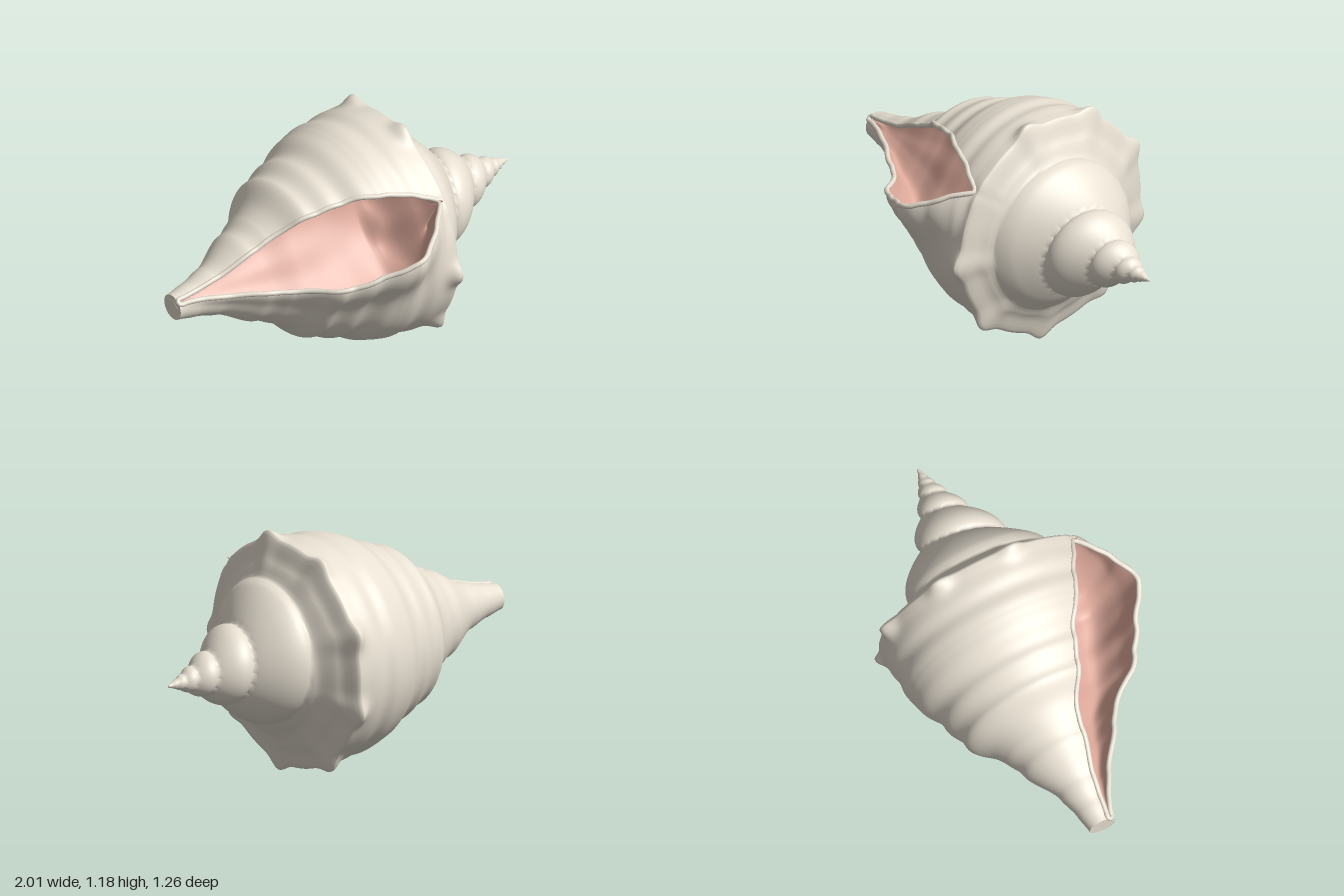
import * as THREE from 'three';

const RAD = Math.PI / 180;
const AXIS_Y = 0.6, AXIS_Z = -0.04;
const APERTURE_END = 0.25;

// Gently terraced interpolation through [x, value] stations
function sample(stations, x) {
  if (x <= stations[0][0]) return stations[0][1];
  for (let i = 1; i < stations.length; i++) {
    const [x1, v1] = stations[i], [x0, v0] = stations[i - 1];
    if (x <= x1) {
      const k = (x - x0) / (x1 - x0);
      const s = 0.55 * k + 0.45 * k * k * (3 - 2 * k);
      return v0 + (v1 - v0) * s;
    }
  }
  return stations[stations.length - 1][1];
}

// Body whorl radius, lip angles (degrees) and lip flare along the axis
const BODY = [[-1, 0.065], [-0.9, 0.085], [-0.78, 0.12], [-0.6, 0.22], [-0.5, 0.265], [-0.34, 0.4], [-0.2, 0.45],
  [-0.02, 0.535], [0.08, 0.545], [0.2, 0.558], [0.28, 0.557], [0.32, 0.46], [0.38, 0.355], [0.46, 0.27], [0.56, 0.05], [0.6, 0]];
const LOWER_LIP = [[-1, 38], [-0.75, 16], [-0.5, 9], [-0.3, 10], [-0.15, 14], [0, 18], [0.1, 23], [0.2, 31], [0.25, 36]];
const UPPER_LIP = [[-1, 58], [-0.75, 62], [-0.5, 66], [-0.3, 60], [-0.15, 57], [0, 50], [0.1, 46], [0.2, 40], [0.25, 36]];
const FLARE = [[-1, 0], [-0.75, 0.03], [-0.5, 0.05], [-0.34, 0.1], [-0.15, 0.14], [-0.02, 0.165], [0.1, 0.11], [0.2, 0.04], [0.25, 0]];

// Spiral spire: one rounded whorl per turn, shrinking towards the apex
function spireRadius(x, deg) {
  const t = Math.max(1 - x, 0.004);
  if (t > 0.75) return 0;
  const turn = Math.log(t / 0.58) / Math.log(0.6) - (deg - 90) / 360 - 0.58;
  const k = turn - Math.floor(turn);
  const slim = Math.min(1, 0.68 + 0.55 * t);
  return t * slim * (0.48 + 0.155 * Math.pow(Math.sin(Math.PI * k), 0.7)) + 0.004;
}

function radius(x, deg) {
  let r = sample(BODY, x);
  // Pointed knobs around the shoulder
  const knob = Math.pow((1 + Math.cos(9 * (deg - 76) * RAD)) / 2, 4);
  const dx = x - 0.275;
  const skip = Math.min(1, Math.abs(deg - 36) / 25, Math.abs(deg - 396) / 25);
  r += 0.045 * knob * skip * Math.exp(-Math.pow(dx / (dx < 0 ? 0.05 : 0.06), 2));
  // Fine spiral ridges
  if (x > -0.7 && x < 0.25) r += 0.004 * Math.sin(x * 48) * Math.min(1, (x + 0.7) * 5, (0.25 - x) * 8);
  // Flare towards the lower lip
  if (x < APERTURE_END) {
    const d = sample(LOWER_LIP, x) + 360 - deg;
    r += sample(FLARE, x) * Math.exp(-Math.pow(d / 16, 2));
  }
  return Math.max(r, spireRadius(x, deg));
}

function polar(x, deg, r) {
  return new THREE.Vector3(x, AXIS_Y + r * Math.sin(deg * RAD), AXIS_Z + r * Math.cos(deg * RAD));
}

// Grid surface from a point rule
function surface(rows, cols, point) {
  const pos = [], index = [];
  for (let i = 0; i <= rows; i++) {
    for (let j = 0; j <= cols; j++) {
      const p = point(i / rows, j / cols);
      pos.push(p.x, p.y, p.z);
      if (i < rows && j < cols) {
        const a = i * (cols + 1) + j, b = a + cols + 1;
        index.push(a, b, a + 1, b, b + 1, a + 1);
      }
    }
  }
  const g = new THREE.BufferGeometry();
  g.setAttribute('position', new THREE.Float32BufferAttribute(pos, 3));
  g.setIndex(index);
  g.computeVertexNormals();
  return g;
}

function outerShell() {
  const rows = 208, cols = 216;
  const g = surface(rows, cols, (u, v) => {
    const x = -1 + 2 * u;
    const from = sample(UPPER_LIP, x), to = sample(LOWER_LIP, x) + 360;
    const deg = from + (to - from) * v;
    return polar(x, deg, radius(x, deg));
  });
  // Blend the normals where the whorl closes on itself
  const n = g.attributes.normal, a = new THREE.Vector3(), b = new THREE.Vector3();
  for (let i = 0; i <= rows; i++) {
    if (-1 + (2 * i) / rows < APERTURE_END) continue;
    const first = i * (cols + 1), last = first + cols;
    a.fromBufferAttribute(n, first).add(b.fromBufferAttribute(n, last)).normalize();
    n.setXYZ(first, a.x, a.y, a.z);
    n.setXYZ(last, a.x, a.y, a.z);
  }
  return g;
}

const lowerLip = (x) => { const d = sample(LOWER_LIP, x) + 360; return polar(x, d, radius(x, d)); };
const upperLip = (x) => { const d = sample(UPPER_LIP, x); return polar(x, d, radius(x, d)); };

// Hollow that runs in under both lips
function cavity() {
  return surface(80, 48, (u, v) => {
    const x = -1 + (1 + APERTURE_END) * u;
    const p = sample(LOWER_LIP, x), q = sample(UPPER_LIP, x);
    const rp = radius(x, p + 360), rq = radius(x, q);
    const open = Math.min(1, (q - p) / 30), under = 32 * open;
    const inner = (deg, f) => polar(x, deg, f * sample(BODY, x));
    const deep = 1 - 0.68 * open;
    const section = new THREE.CatmullRomCurve3([
      polar(x, p, rp * 0.99),
      polar(x, p - under * 0.5, radius(x, p + 360 - under * 0.5) * 0.93),
      inner(p - under, 0.8),
      inner(p - under * 0.6, Math.max(deep, 0.45)),
      inner((p + q) / 2, deep),
      inner(q + under * 0.6, Math.max(deep, 0.45)),
      inner(q + under, 0.8),
      polar(x, q + under * 0.5, radius(x, q + under * 0.5) * 0.93),
      polar(x, q, rq * 0.99),
    ]);
    return section.getPoint(v);
  });
}

// Thickened rim around the opening
function lipRim() {
  const pts = [], steps = 32;
  const at = (i) => -0.995 + (APERTURE_END + 0.995) * (i / steps);
  for (let i = 0; i <= steps; i++) pts.push(lowerLip(at(i)));
  for (let i = steps - 1; i >= 0; i--) pts.push(upperLip(at(i)));
  return new THREE.TubeGeometry(new THREE.CatmullRomCurve3(pts, true), 220, 0.0125, 10, true);
}

export function createModel() {
  const group = new THREE.Group();
  group.name = 'seaShell';
  const cream = new THREE.MeshStandardMaterial({ color: 0xe8e0d2, side: THREE.DoubleSide });
  const pink = new THREE.MeshStandardMaterial({ color: 0xdfab9c, side: THREE.DoubleSide });
  const add = (name, geometry, material) => {
    const mesh = new THREE.Mesh(geometry, material);
    mesh.name = name;
    group.add(mesh);
    return mesh;
  };
  add('outerShell', outerShell(), cream);
  add('innerCavity', cavity(), pink);
  add('lipRim', lipRim(), cream);

  // Closed ends of the canal and the spire
  const canalEnd = add('canalEnd', new THREE.CircleGeometry(0.065, 32), cream);
  canalEnd.rotation.y = -Math.PI / 2;
  canalEnd.position.set(-0.999, AXIS_Y, AXIS_Z);
  const apex = add('apex', new THREE.SphereGeometry(0.009, 16, 10), cream);
  apex.position.set(0.991, AXIS_Y, AXIS_Z);
  return group;
}
